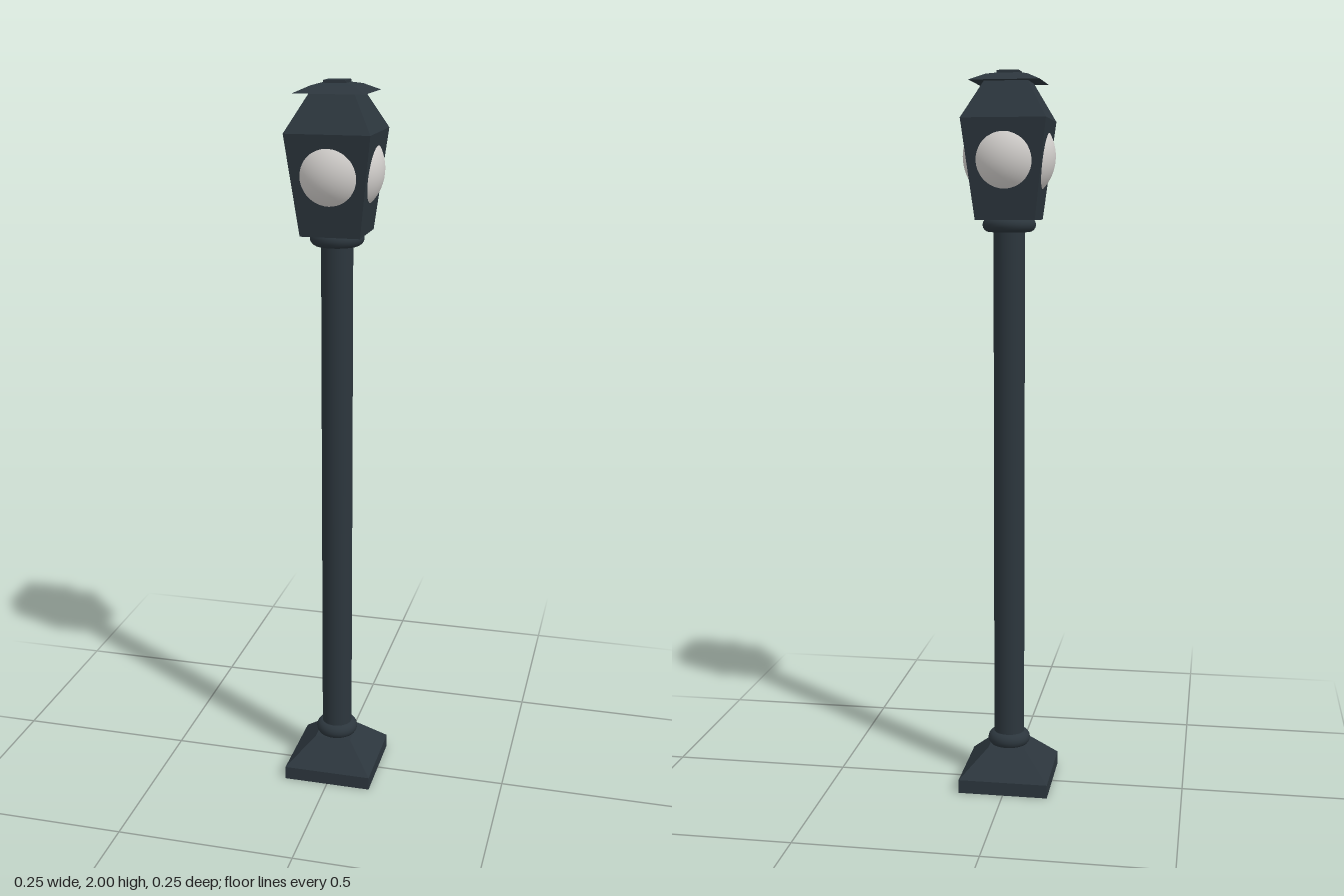
import * as THREE from 'three';

export function createModel() {
  const lamp = new THREE.Group();
  lamp.name = 'streetLamp';
  const iron = new THREE.MeshStandardMaterial({ color: 0x2c363d });
  iron.name = 'darkIron';
  const glass = new THREE.MeshStandardMaterial({ color: 0xd6d3d0 });
  glass.name = 'paleGlass';

  function add(name, geometry, material = iron, y = 0) {
    const mesh = new THREE.Mesh(geometry, material);
    mesh.name = name;
    mesh.position.y = y;
    lamp.add(mesh);
  }

  // Square frustum with half widths a (bottom) and b (top) from y0 to y1
  function frustum(name, a, b, y0, y1) {
    const g = new THREE.CylinderGeometry(b * Math.SQRT2, a * Math.SQRT2, y1 - y0, 4)
      .rotateY(Math.PI / 4).toNonIndexed();
    g.computeVertexNormals();
    add(name, g, iron, (y0 + y1) / 2);
  }

  // Rounded ring around the pole
  function collar(name, y, outer, tube) {
    add(name, new THREE.TorusGeometry(outer - tube, tube, 16, 40).rotateX(Math.PI / 2), iron, y);
  }

  // Foot
  frustum('baseSlab', 0.126, 0.126, 0, 0.038);
  frustum('baseSlope', 0.126, 0.052, 0.038, 0.112);
  collar('baseCollar', 0.128, 0.06, 0.021);

  // Pole
  add('pole', new THREE.CylinderGeometry(0.043, 0.043, 1.5, 32), iron, 0.86);
  collar('lanternCollar', 1.593, 0.073, 0.02);

  // Lantern housing, with the globe bulging through its four walls
  frustum('lanternHousing', 0.081, 0.114, 1.606, 1.872);
  add('globe', new THREE.SphereGeometry(0.126, 48, 32), glass, 1.775);
  frustum('roof', 0.114, 0.058, 1.872, 1.972);

  // Flared cap and its small finial block
  frustum('capBrim', 0.095, 0.056, 1.97, 1.988);
  frustum('capTop', 0.056, 0.03, 1.988, 1.993);
  frustum('finial', 0.03, 0.03, 1.99, 2);

  return lamp;
}
